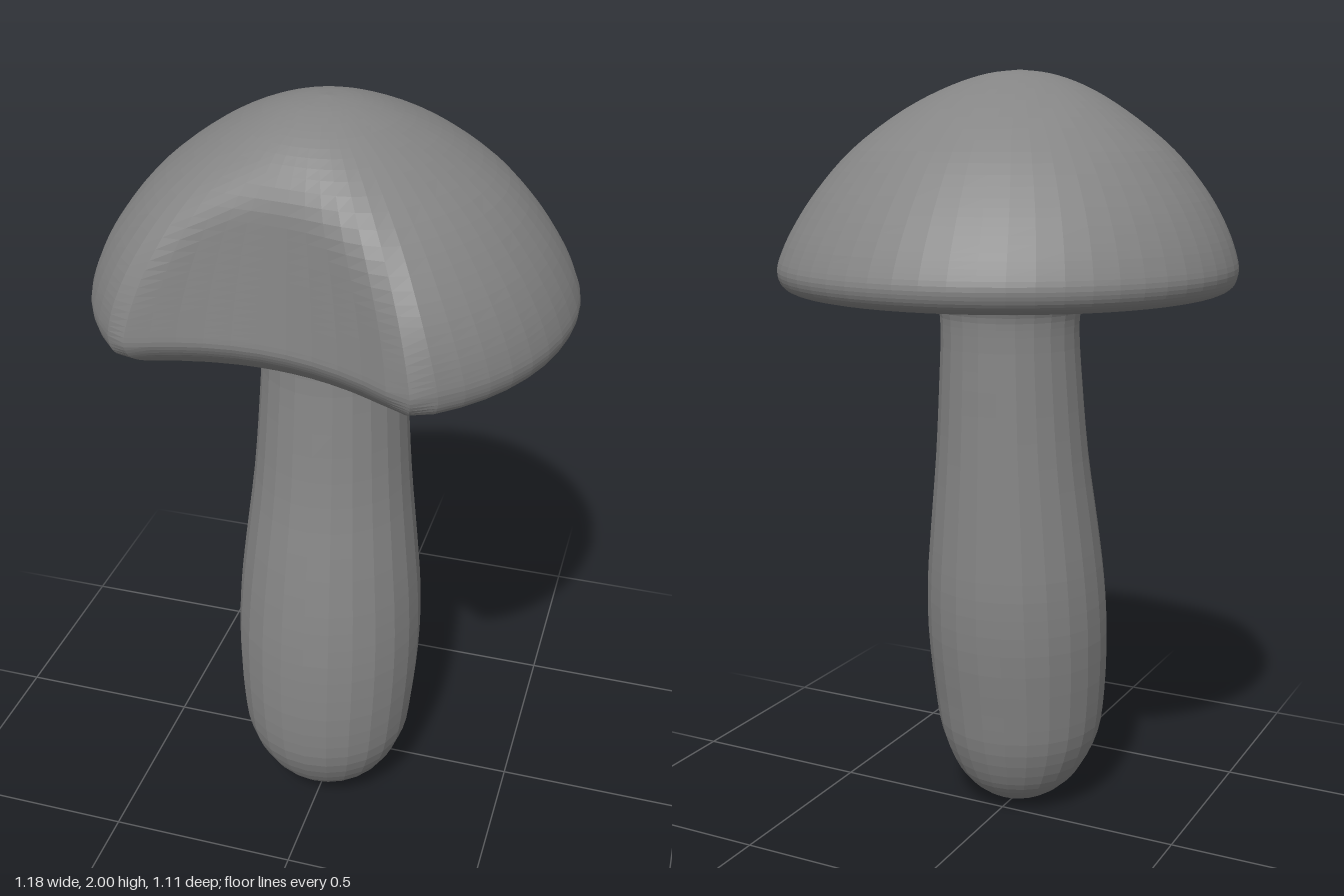
import * as THREE from 'three';

const material = new THREE.MeshStandardMaterial({ color: 0x858585, flatShading: true });

// Smooth minimum, rounds the edge where two surfaces meet
function softMin(a, b, k) {
  const h = Math.max(k - Math.abs(a - b), 0) / k;
  return Math.min(a, b) - h * h * k * 0.25;
}

// Skin of rings from bottom to top; rows are [y, radius, centre z]
function loft(name, rows, steps, sides, adjust) {
  const curve = new THREE.CatmullRomCurve3(rows.map(([y, r, z]) => new THREE.Vector3(r, y, z)), false, 'centripetal');
  const positions = [];
  const index = [];
  for (let i = 0; i <= steps; i++) {
    const ring = curve.getPoint(i / steps);
    const radius = Math.max(ring.x, 0);
    for (let j = 0; j < sides; j++) {
      const a = (j / sides) * Math.PI * 2;
      const p = new THREE.Vector3(Math.sin(a) * radius, ring.y, ring.z + Math.cos(a) * radius);
      if (adjust) adjust(p);
      positions.push(p.x, p.y, p.z);
      if (i < steps) {
        const k = (j + 1) % sides;
        const [p0, p1, q0, q1] = [i * sides + j, i * sides + k, (i + 1) * sides + j, (i + 1) * sides + k];
        index.push(p0, p1, q1, p0, q1, q0);
      }
    }
  }
  const geometry = new THREE.BufferGeometry();
  geometry.setAttribute('position', new THREE.Float32BufferAttribute(positions, 3));
  geometry.setIndex(index);
  geometry.computeVertexNormals();
  const mesh = new THREE.Mesh(geometry, material);
  mesh.name = name;
  return mesh;
}

// Fuller front of the dome, with a curved bite scooped out of it
function shapeCap(p) {
  if (p.z < 0.1) return;
  const above = Math.max(p.y - 1.5, 0);
  p.z += 0.4 * above * (p.z - 0.1) + 0.18 * Math.max(p.x, 0) * (p.z - 0.1);
  const lip = 8 * Math.max(1.52 - p.y, 0) ** 2;
  const wall = 0.422 + 0.85 * (p.x + 0.1) ** 2 - 0.1 * above - lip;
  p.z = softMin(p.z, wall, 0.04 + 0.2 * above);
}

export function createModel() {
  const model = new THREE.Group();
  model.name = 'mushroom';

  // Stem: rounded foot, swollen below, flaring into the cap
  const stem = [
    [0, 0, 0.1], [0.015, 0.07, 0.1], [0.05, 0.13, 0.105], [0.1, 0.175, 0.11],
    [0.2, 0.22, 0.115], [0.32, 0.238, 0.112], [0.5, 0.248, 0.097], [0.65, 0.243, 0.085],
    [0.8, 0.228, 0.075], [1, 0.205, 0.06], [1.2, 0.19, 0.05], [1.34, 0.183, 0.045],
    [1.39, 0.187, 0.045], [1.415, 0.2, 0.045], [1.44, 0.235, 0.045],
  ];
  model.add(loft('stem', stem, 42, 24));

  // Cap: flat underside, rounded rim and dome leaning to the front
  const cap = [
    [1.425, 0.17, 0.045], [1.43, 0.34, 0.04], [1.438, 0.46, 0.035], [1.448, 0.55, 0.03],
    [1.465, 0.58, 0.03], [1.5, 0.592, 0.03], [1.55, 0.58, 0.035], [1.62, 0.548, 0.043],
    [1.7, 0.497, 0.05], [1.8, 0.41, 0.055], [1.9, 0.28, 0.065], [1.96, 0.17, 0.085],
    [1.99, 0.08, 0.095], [2, 0, 0.1],
  ];
  model.add(loft('cap', cap, 52, 56, shapeCap));

  return model;
}
